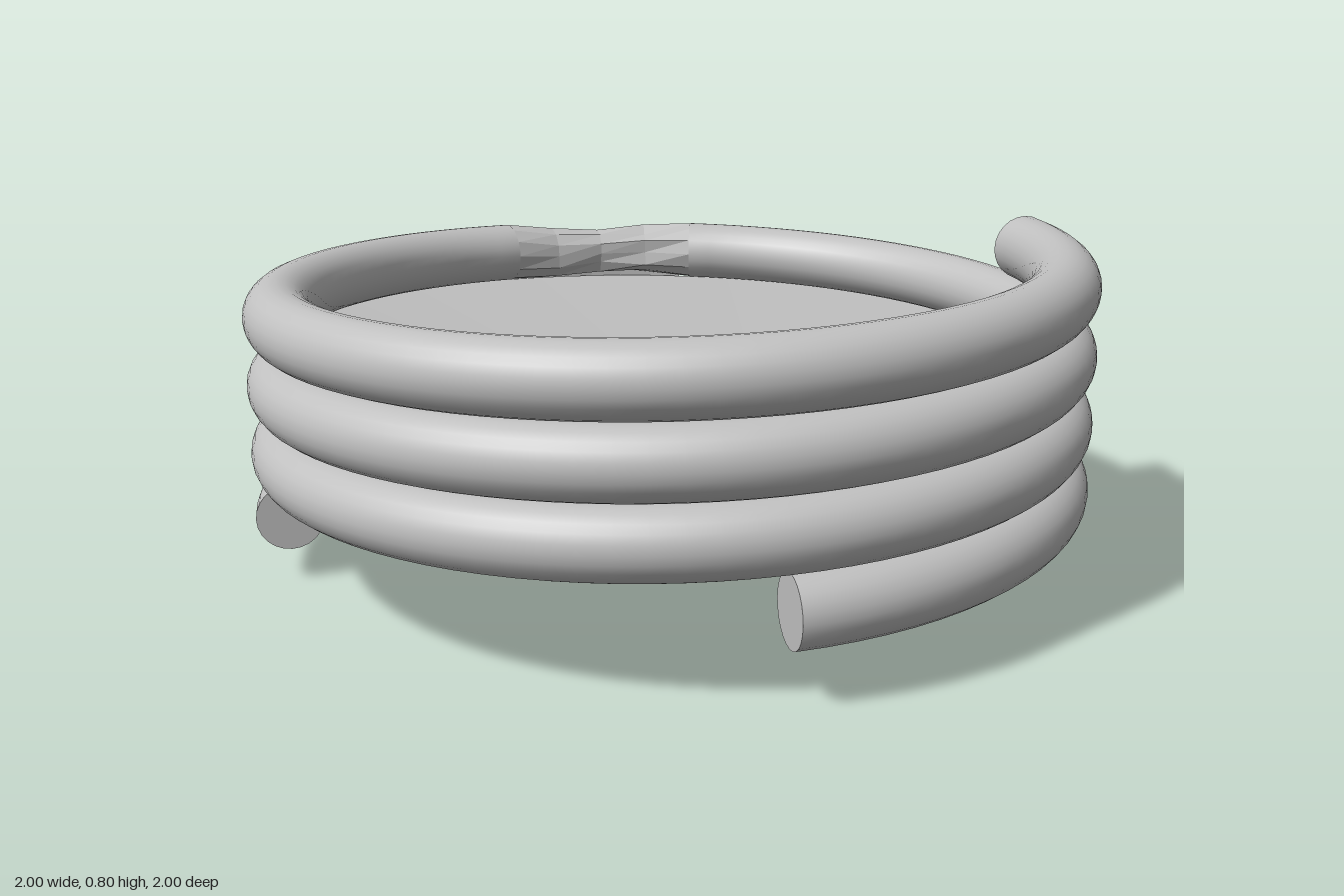
import * as THREE from 'three';

const R = 0.921, TUBE = 0.079, PITCH = 0.16, BASE = 0.081;
const rad = THREE.MathUtils.degToRad;
const height = (deg) => BASE + (PITCH * deg) / 360;

// Point at a winding angle: 0 is the left side, 90 the back
const onCoil = (deg, r, y) => [r * Math.cos(rad(deg)), y, -r * Math.sin(rad(deg))];

let seed = 7;
const noise = () => {
  seed = (seed * 16807) % 2147483647;
  return (seed / 2147483647) * 2 - 1;
};

function buildGeometry(positions, index, flat) {
  let g = new THREE.BufferGeometry();
  g.setAttribute('position', new THREE.Float32BufferAttribute(positions, 3));
  g.setIndex(index);
  if (flat) g = g.toNonIndexed();
  g.computeVertexNormals();
  return g;
}

// Sweep of a round section along the coil; a squeezed stretch is crumpled and faceted
function sweep(from, to, steps, sides, squeeze = 0, rise = 0) {
  const pos = [], index = [];
  for (let i = 0; i <= steps; i++) {
    const deg = from + ((to - from) * i) / steps;
    const pinch = squeeze && i > 0 && i < steps ? Math.sin((Math.PI * i) / steps) : 0;
    const lift = pinch ? rise * pinch + noise() * 0.01 : 0;
    for (let j = 0; j < sides; j++) {
      const a = (j / sides) * Math.PI * 2;
      const jag = pinch ? noise() * 0.01 : 0;
      const r = R + pinch * 0.005 + (TUBE * (1 - 0.15 * pinch) + jag) * Math.cos(a);
      const y = height(deg) + lift + (TUBE * (1 - squeeze * pinch) + jag) * Math.sin(a);
      pos.push(...onCoil(deg, r, y));
    }
  }
  for (let i = 0; i < steps; i++) {
    for (let j = 0; j < sides; j++) {
      const k = (j + 1) % sides;
      const a = i * sides + j, b = (i + 1) * sides + j;
      const c = (i + 1) * sides + k, d = i * sides + k;
      index.push(a, b, c, a, c, d);
    }
  }
  return buildGeometry(pos, index, squeeze > 0);
}

// Membrane along the seam above the coil, fanned out from its first rim point
function membrane(from, to) {
  const pos = [], index = [];
  const steps = (to - from) / 5;
  for (let i = 0; i <= steps; i++) {
    const deg = from + i * 5;
    pos.push(...onCoil(deg, R, height(deg) + PITCH / 2));
    if (i > 1) index.push(0, i - 1, i);
  }
  return buildGeometry(pos, index, true);
}

// Thin wall closing the gaps behind the crumpled stretches
function backWall() {
  const pos = [], index = [], steps = 6;
  for (let i = 0; i <= steps; i++) {
    const deg = 74 + (i / steps) * 32;
    pos.push(...onCoil(deg, 0.94, height(deg + 360)), ...onCoil(deg, 0.94, height(deg + 1080)));
    if (i < steps) index.push(i * 2, i * 2 + 2, i * 2 + 3, i * 2, i * 2 + 3, i * 2 + 1);
  }
  return buildGeometry(pos, index, true);
}

export function createModel() {
  const group = new THREE.Group();
  const grey = new THREE.MeshStandardMaterial({ color: 0xc0c0c0, side: THREE.DoubleSide });
  grey.name = 'plain grey';

  const add = (name, geometry) => {
    const mesh = new THREE.Mesh(geometry, grey);
    mesh.name = name;
    group.add(mesh);
    return mesh;
  };

  // Smooth stretches: a loose half turn below, then the main coil
  const stretches = [[0, 72], [106, 180], [270, 432], [466, 792], [826, 1152], [1186, 1440]];
  for (const [from, to] of stretches) {
    add('coil', sweep(from, to, Math.round((to - from) / 4), 24));
  }

  // Crumpled stretch at the back of every turn, thinnest on the loose one
  for (let turn = 0; turn < 4; turn++) {
    const [squeeze, rise] = turn === 0 ? [0.4, 0.025] : [0.28, 0];
    add('crumpledCoil', sweep(turn * 360 + 72, turn * 360 + 106, 4, 12, squeeze, rise));
  }
  add('backWall', backWall());

  // Flat end caps
  for (const [deg, turned] of [[0, 0], [180, Math.PI], [270, 0], [1440, Math.PI]]) {
    const cap = add('endCap', new THREE.CircleGeometry(TUBE, 24));
    cap.position.set(...onCoil(deg, R, height(deg)));
    cap.rotation.y = rad(deg) + turned;
  }

  // Membranes across the opening, each cut off along a chord at the front right
  for (const start of [270, 630]) add('membrane', membrane(start, start + 270));

  // Separate segments filling the corner beyond the chord
  for (const start of [180, 540, 900]) add('cornerSegment', membrane(start, start + 90));

  return group;
}
